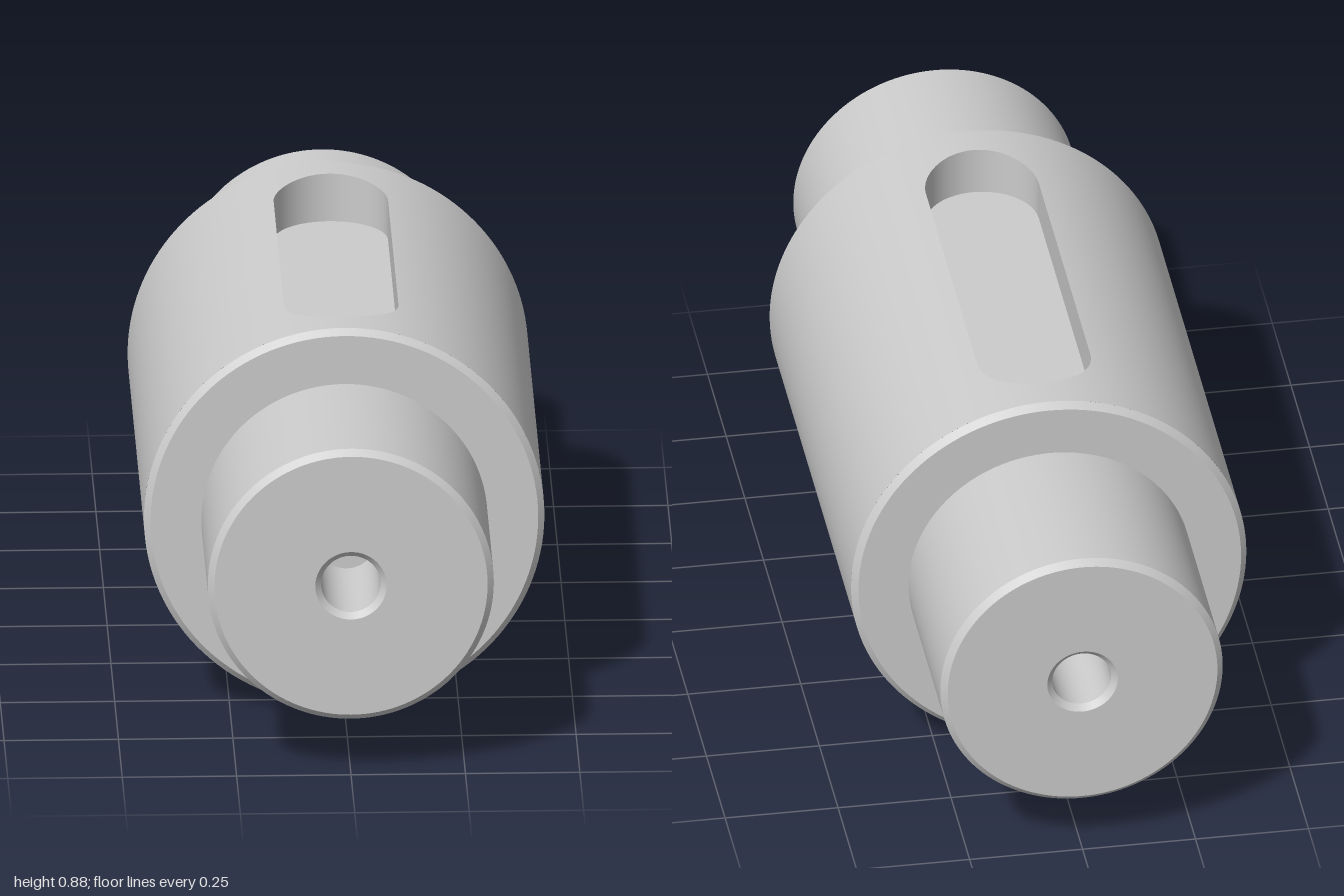
import * as THREE from 'three';
import { mergeGeometries } from 'three/addons/utils/BufferGeometryUtils.js';

const SEG = 128;
const R = 0.4375;            // centre body radius
const BODY = 0.56;           // half length of the body
const RJ = 0.3125;           // journal radius
const CH = 0.014;            // edge chamfer
const HOLE = 0.065, HOLE_DEPTH = 0.3;
const HW = 0.125, ZC = 0.345; // keyway half width, centre of its round ends
const FLOOR = R - 0.11;      // keyway floor height above the axis

// Revolve a profile of [radius, z] points, keeping every corner sharp
function turned(profile, start = 0, length = Math.PI * 2) {
  const bands = [];
  for (let i = 0; i < profile.length - 1; i++) {
    const pts = [profile[i], profile[i + 1]].map(([r, z]) => new THREE.Vector2(r, z));
    bands.push(new THREE.LatheGeometry(pts, SEG, start, length));
  }
  return mergeGeometries(bands).rotateX(Math.PI / 2);
}

// Bend a grid: rule(u, v) returns [position, normal], with u to the right and v up
function sheet(nu, nv, rule) {
  const g = new THREE.PlaneGeometry(1, 1, nu, nv);
  const p = g.attributes.position, n = g.attributes.normal;
  for (let i = 0; i < p.count; i++) {
    const [pos, nor] = rule(p.getX(i) + 0.5, p.getY(i) + 0.5);
    p.setXYZ(i, ...pos);
    n.setXYZ(i, ...nor);
  }
  return g;
}

export function createModel() {
  const shaft = new THREE.Group();
  shaft.name = 'keyedShaft';
  const mat = new THREE.MeshStandardMaterial({ color: 0xcccccc });
  const add = (name, geometry) => {
    const mesh = new THREE.Mesh(geometry, mat);
    mesh.name = name;
    mesh.position.y = R;
    shaft.add(mesh);
    return mesh;
  };

  // Journals with chamfered ends and blind centre holes, plus the body shoulders
  const end = [
    [R, BODY - CH], [R - CH, BODY], [RJ, BODY],
    [RJ, 1 - CH], [RJ - CH, 1], [HOLE + 0.013, 1],
    [HOLE, 0.987], [HOLE, 1 - HOLE_DEPTH], [0, 1 - HOLE_DEPTH],
  ];
  add('frontJournal', turned(end));
  add('backJournal', turned(end).rotateY(Math.PI));

  // Body surface, left open over the width of the keyway
  const gap = Math.asin(HW / R);
  const edge = BODY - CH;
  add('body', turned([[R, -edge], [R, edge]], Math.PI + gap, 2 * (Math.PI - gap)));

  // Body surface in front of and behind the keyway
  const cap = sheet(32, 1, (u, v) => {
    const t = (u - 0.5) * Math.PI;
    const x = HW * Math.sin(t), y = Math.sqrt(R * R - x * x);
    const z = THREE.MathUtils.lerp(edge, ZC + HW * Math.cos(t), v);
    return [[x, y, z], [x / R, y / R, 0]];
  });
  add('bodyTopFront', cap);
  add('bodyTopBack', cap.clone().rotateY(Math.PI));

  // Keyway outline: two half circles, clockwise from above
  const loop = [];
  for (let i = 0; i <= 64; i++) {
    const a = (i / 64) * Math.PI * 2;
    if (i === 32) loop.push([a, -ZC]);
    loop.push([a, i < 32 ? -ZC : ZC]);
  }
  loop.push([0, -ZC]);
  const outline = loop.map(([a, c]) => ({ a, x: -HW * Math.cos(a), z: c - HW * Math.sin(a) }));

  // Keyway walls rise from the flat floor to the curved surface
  add('keywayWall', sheet(outline.length - 1, 1, (u, v) => {
    const { a, x, z } = outline[Math.round(u * (outline.length - 1))];
    const y = THREE.MathUtils.lerp(FLOOR, Math.sqrt(R * R - x * x), v);
    return [[x, y, z], [Math.cos(a), 0, Math.sin(a)]];
  }));

  // Keyway floor
  const floorShape = new THREE.Shape(outline.slice(0, -1).map(({ x, z }) => new THREE.Vector2(x, -z)));
  add('keywayFloor', new THREE.ShapeGeometry(floorShape).rotateX(-Math.PI / 2).translate(0, FLOOR, 0));

  return shaft;
}
